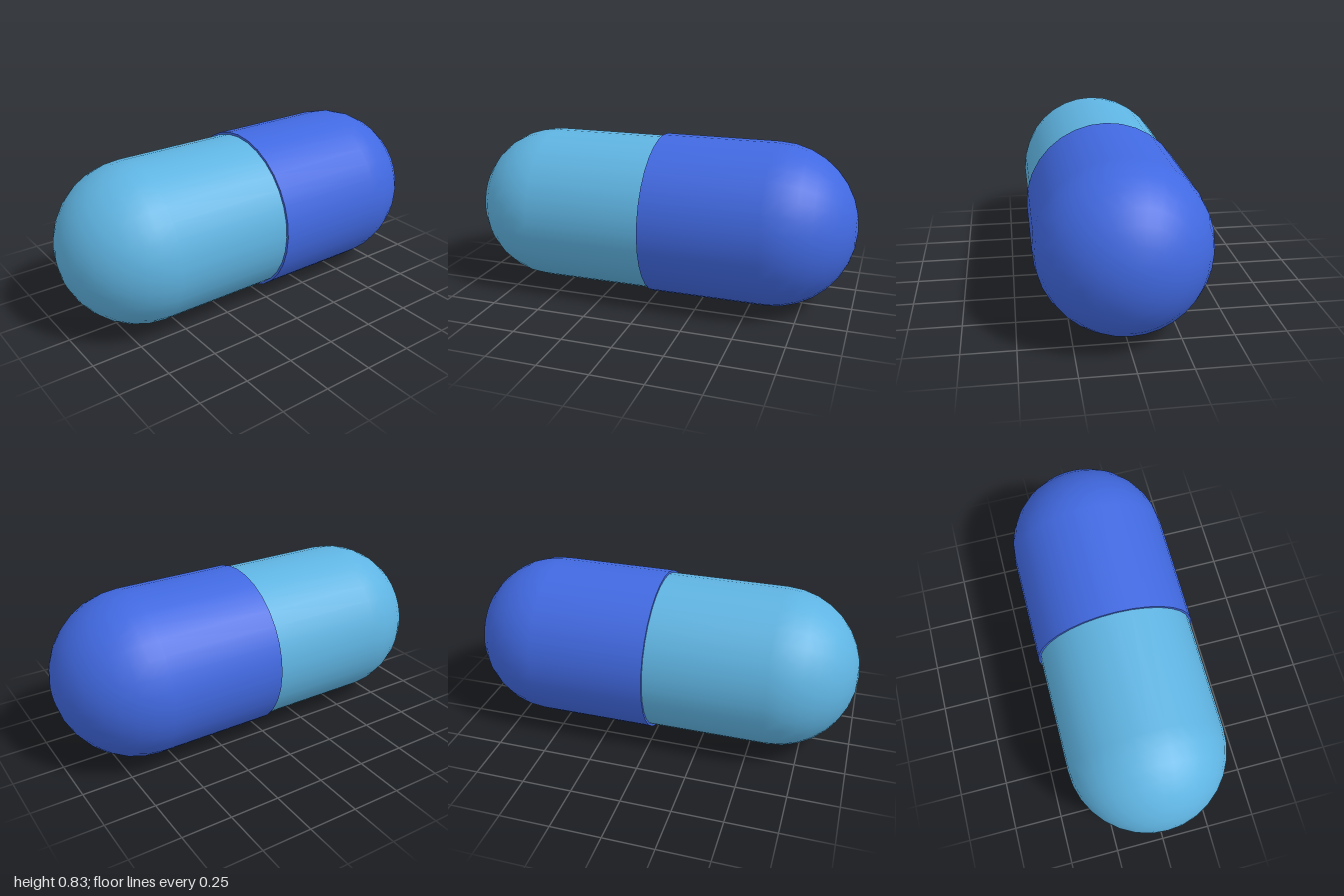
import * as THREE from 'three';

const SEGMENTS = 32;
const OUTER = 0.414; // radius of the overlapping cap
const INNER = 0.402; // radius of the body tucked into it
const HALF = 1; // length of each half from the seam

// One half of the capsule along +z: open tube with a domed end
function makeHalf(name, radius, color) {
  const half = new THREE.Group();
  half.name = name;
  const material = new THREE.MeshStandardMaterial({ color, side: THREE.DoubleSide });
  const length = HALF - radius;

  const tube = new THREE.CylinderGeometry(radius, radius, length, SEGMENTS, 1, true);
  tube.translate(0, length / 2, 0).rotateX(Math.PI / 2);

  const dome = new THREE.SphereGeometry(radius, SEGMENTS, 8, 0, Math.PI * 2, 0, Math.PI / 2);
  dome.translate(0, length, 0).rotateX(Math.PI / 2);

  const add = (part, geometry) => {
    const mesh = new THREE.Mesh(geometry, material);
    mesh.name = part;
    half.add(mesh);
  };
  add(name + 'Tube', tube);
  add(name + 'Dome', dome);
  return { half, add };
}

export function createModel() {
  const model = new THREE.Group();
  model.name = 'capsule';

  // Light blue front half
  const body = makeHalf('body', INNER, 0x5fb4e2);

  // Dark blue back half, with the flat rim where it overlaps the body
  const cap = makeHalf('cap', OUTER, 0x4169e1);
  cap.add('capRim', new THREE.RingGeometry(INNER, OUTER, SEGMENTS).rotateY(Math.PI));
  cap.half.rotation.y = Math.PI;

  model.add(body.half, cap.half);
  model.position.y = OUTER;

  const root = new THREE.Group();
  root.add(model);
  return root;
}
